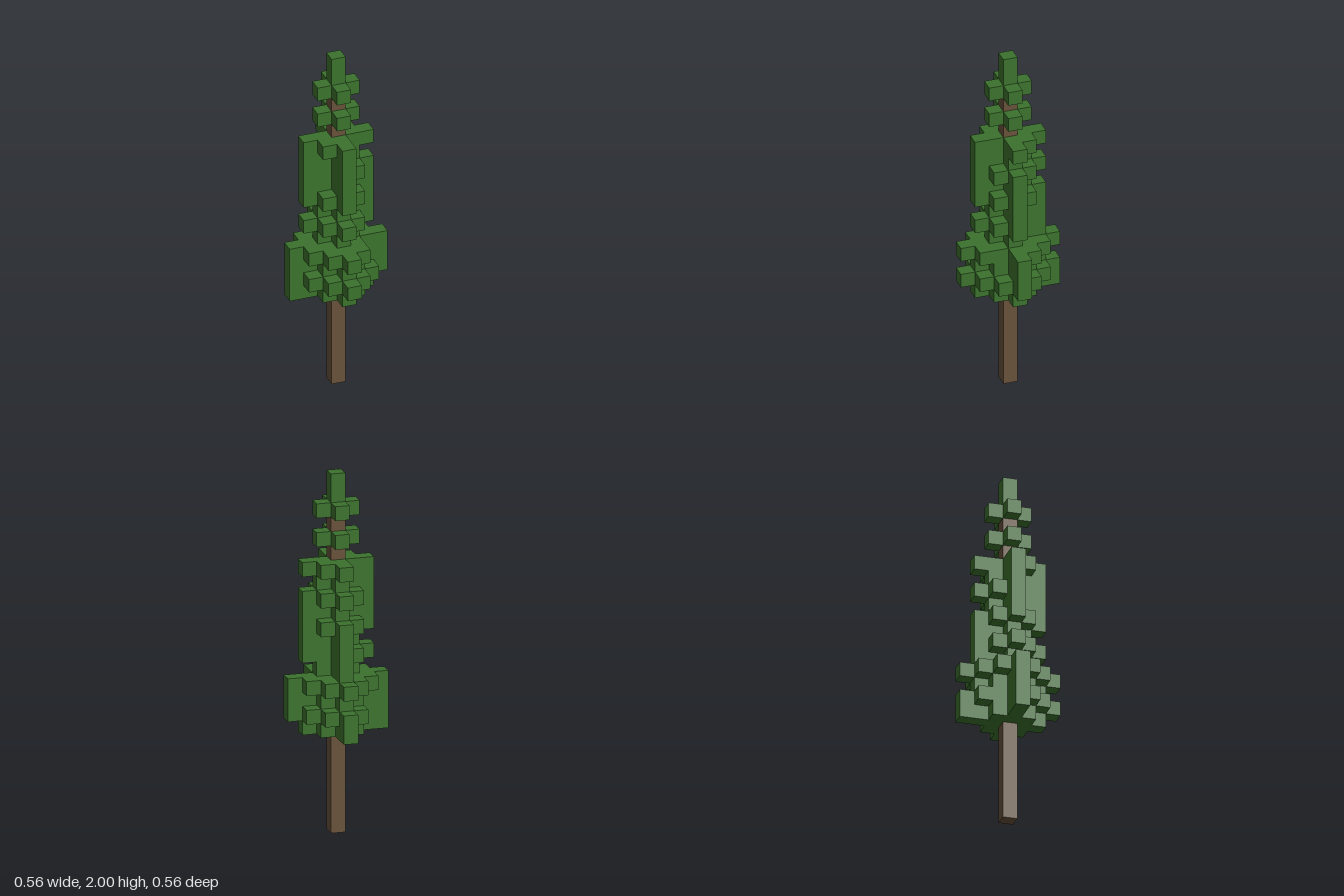
import * as THREE from 'three';

const U = 0.08; // block size

// Foliage layers: [layer, diamond radius, extra blocks, missing blocks], blocks as [x, z]
const LAYERS = [
  [7, 2, [[-3, 0], [0, -3]], []],
  [8, 3, [], [[-2, -1]]],
  [9, 2, [[3, 0], [-3, 0]], []],
  [10, 3, [], [[2, 1]]],
  [11, 1, [[0, -2]], []],
  [12, 2, [], [[1, -1]]],
  [13, 1, [[2, 0], [0, -2]], []],
  [14, 2, [], []],
  [15, 1, [[2, 0], [-2, 0], [0, 2]], []],
  [16, 2, [], [[-1, 1]]],
  [17, 1, [[-2, 0], [0, 2]], []],
  [18, 2, [], [[1, 1], [-1, -1]]],
  [20, 1, [], []],
  [22, 1, [], []],
];
const TRUNK_LAYERS = 23;

const key = (x, y, z) => `${x},${y},${z}`;

function foliageBlocks() {
  const blocks = new Map();
  const add = (x, y, z) => blocks.set(key(x, y, z), [x, y, z]);
  for (const [y, r, extra, missing] of LAYERS) {
    for (let x = -r; x <= r; x++) {
      for (let z = -r; z <= r; z++) {
        const d = Math.abs(x) + Math.abs(z);
        if (d === 0 || d > r) continue; // the trunk fills the centre
        if (!missing.some(([mx, mz]) => mx === x && mz === z)) add(x, y, z);
      }
    }
    for (const [x, z] of extra) add(x, y, z);
  }
  return blocks;
}

// Skin of exposed block faces
function skinGeometry(blocks) {
  const positions = [], normals = [], index = [];
  const solid = (x, y, z) =>
    blocks.has(key(x, y, z)) || (x === 0 && z === 0 && y < TRUNK_LAYERS);
  for (const [x, y, z] of blocks.values()) {
    const centre = [x, y + 0.5, z];
    for (let axis = 0; axis < 3; axis++) {
      for (const s of [1, -1]) {
        const n = [0, 0, 0];
        n[axis] = s;
        if (solid(x + n[0], y + n[1], z + n[2])) continue;
        const a = (axis + 1) % 3, b = (axis + 2) % 3;
        const start = positions.length / 3;
        for (const [p, q] of [[-1, -1], [1, -1], [1, 1], [-1, 1]]) {
          const c = [...centre];
          c[axis] += s / 2;
          c[a] += (p * s) / 2; // mirrored on the negative side to keep winding
          c[b] += q / 2;
          positions.push(c[0] * U, c[1] * U, c[2] * U);
          normals.push(...n);
        }
        index.push(start, start + 1, start + 2, start, start + 2, start + 3);
      }
    }
  }
  const g = new THREE.BufferGeometry();
  g.setAttribute('position', new THREE.Float32BufferAttribute(positions, 3));
  g.setAttribute('normal', new THREE.Float32BufferAttribute(normals, 3));
  g.setIndex(index);
  return g;
}

export function createModel() {
  const bark = new THREE.MeshStandardMaterial({ color: 0x67513a });
  bark.name = 'bark brown';
  const needles = new THREE.MeshStandardMaterial({ color: 0x3b722d });
  needles.name = 'needle green';

  const tree = new THREE.Group();
  tree.name = 'blockConifer';
  const part = (name, geometry, material, y = 0) => {
    const mesh = new THREE.Mesh(geometry, material);
    mesh.name = name;
    mesh.position.y = y;
    tree.add(mesh);
  };

  // Square trunk running up through the foliage
  const h = TRUNK_LAYERS * U;
  part('trunk', new THREE.BoxGeometry(U, h, U), bark, h / 2);
  // Ragged diamond layers of branches
  part('foliage', skinGeometry(foliageBlocks()), needles);
  // Two-block spire on top
  part('treetop', new THREE.BoxGeometry(U, 2 * U, U), needles, h + U);

  return tree;
}
